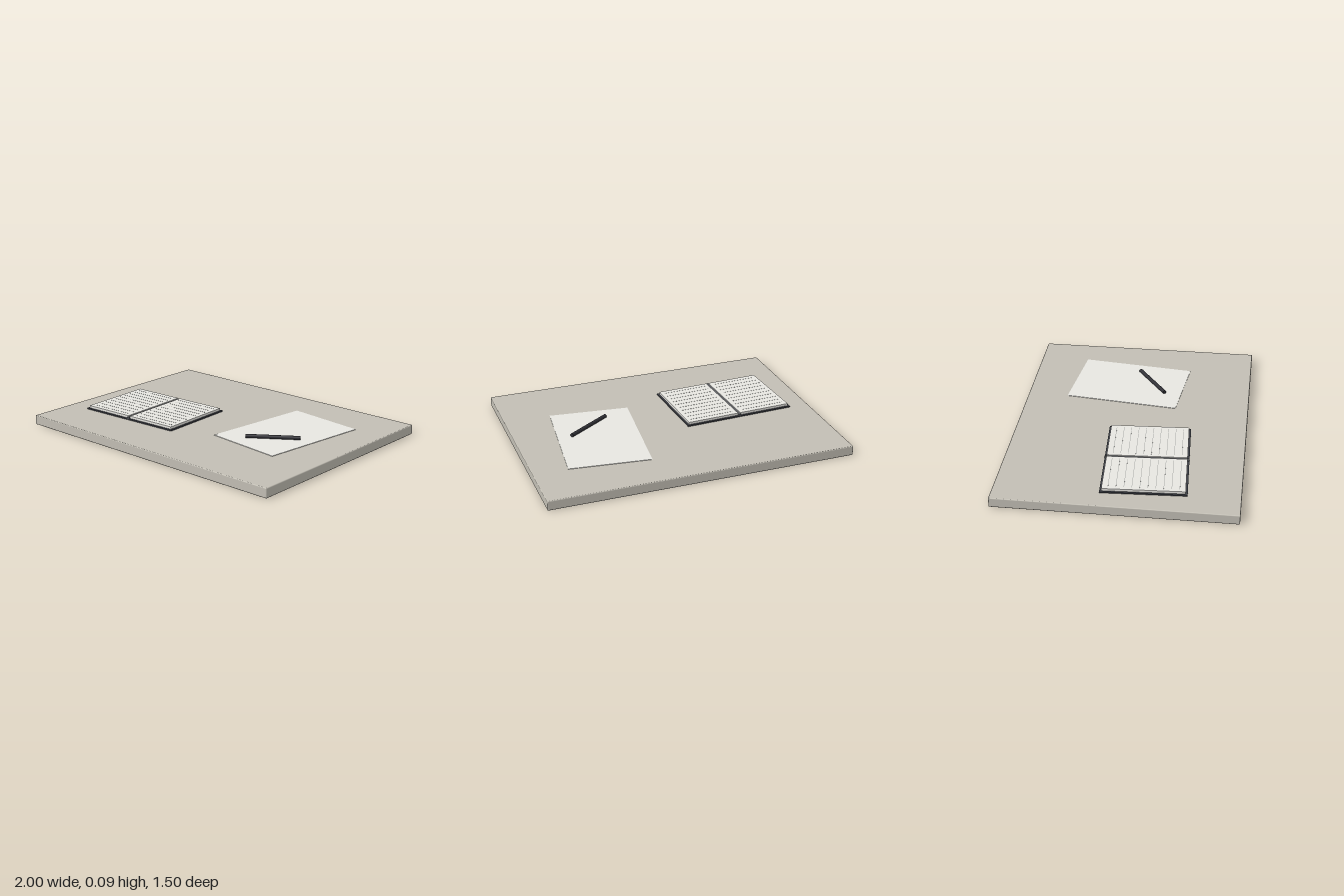
import * as THREE from 'three';
import { RoundedBoxGeometry } from 'three/addons/geometries/RoundedBoxGeometry.js';

const material = (name, color) => {
  const m = new THREE.MeshStandardMaterial({ color });
  m.name = name;
  return m;
};

export function createModel() {
  const mats = {
    desk: material('warm grey desk', 0xc2beb4),
    paper: material('off-white paper', 0xf1f0eb),
    cover: material('charcoal cover', 0x3c3e45),
    spine: material('grey spine', 0x626468),
    ink: material('grey ruling', 0xa6a6a4),
    pen: material('black pen', 0x2e2e34),
  };
  const model = new THREE.Group();
  model.name = 'deskTopWithStationery';

  const add = (parent, name, geometry, mat, x, y, z) => {
    const mesh = new THREE.Mesh(geometry, mat);
    mesh.name = name;
    mesh.position.set(x, y, z);
    parent.add(mesh);
    return mesh;
  };
  const box = (w, h, d) => new THREE.BoxGeometry(w, h, d);

  // Desk slab with slightly softened edges
  const top = 0.064;
  add(model, 'deskTop', new RoundedBoxGeometry(2, top, 1.5, 2, 0.006), mats.desk, 0, top / 2, 0);

  // Open notebook, turned a little
  const notebook = new THREE.Group();
  notebook.name = 'notebook';
  notebook.position.set(-0.477, top, 0.145);
  notebook.rotation.y = 0.05;
  model.add(notebook);
  add(notebook, 'cover', box(0.752, 0.008, 0.53), mats.cover, 0, 0.004, 0);
  add(notebook, 'spine', box(0.016, 0.012, 0.53), mats.spine, 0, 0.013, 0);

  // Page blocks and their ruled lines
  for (const side of [-1, 1]) {
    const label = side < 0 ? 'right' : 'left';
    const x = side * 0.186;
    add(notebook, label + 'Pages', box(0.356, 0.016, 0.506), mats.paper, x, 0.016, 0);
    for (let i = 0; i < 10; i++) {
      add(notebook, label + 'RuledLine', box(0.31, 0.001, 0.003), mats.ink, x, 0.0243, -0.215 + i * 0.048);
    }
  }

  // Loose sheet
  const sheet = add(model, 'looseSheet', box(0.528, 0.003, 0.75), mats.paper, 0.475, top + 0.0015, -0.078);
  sheet.rotation.y = -0.114;

  // Pen lying on the sheet
  const pen = new THREE.Group();
  pen.name = 'pen';
  pen.position.set(0.498, top + 0.015, 0.076);
  pen.rotation.y = 0.6;
  model.add(pen);
  const barrel = add(pen, 'penBarrel', new THREE.CylinderGeometry(0.0125, 0.0125, 0.345, 20), mats.pen, 0, 0, 0);
  barrel.rotation.z = Math.PI / 2;

  return model;
}
